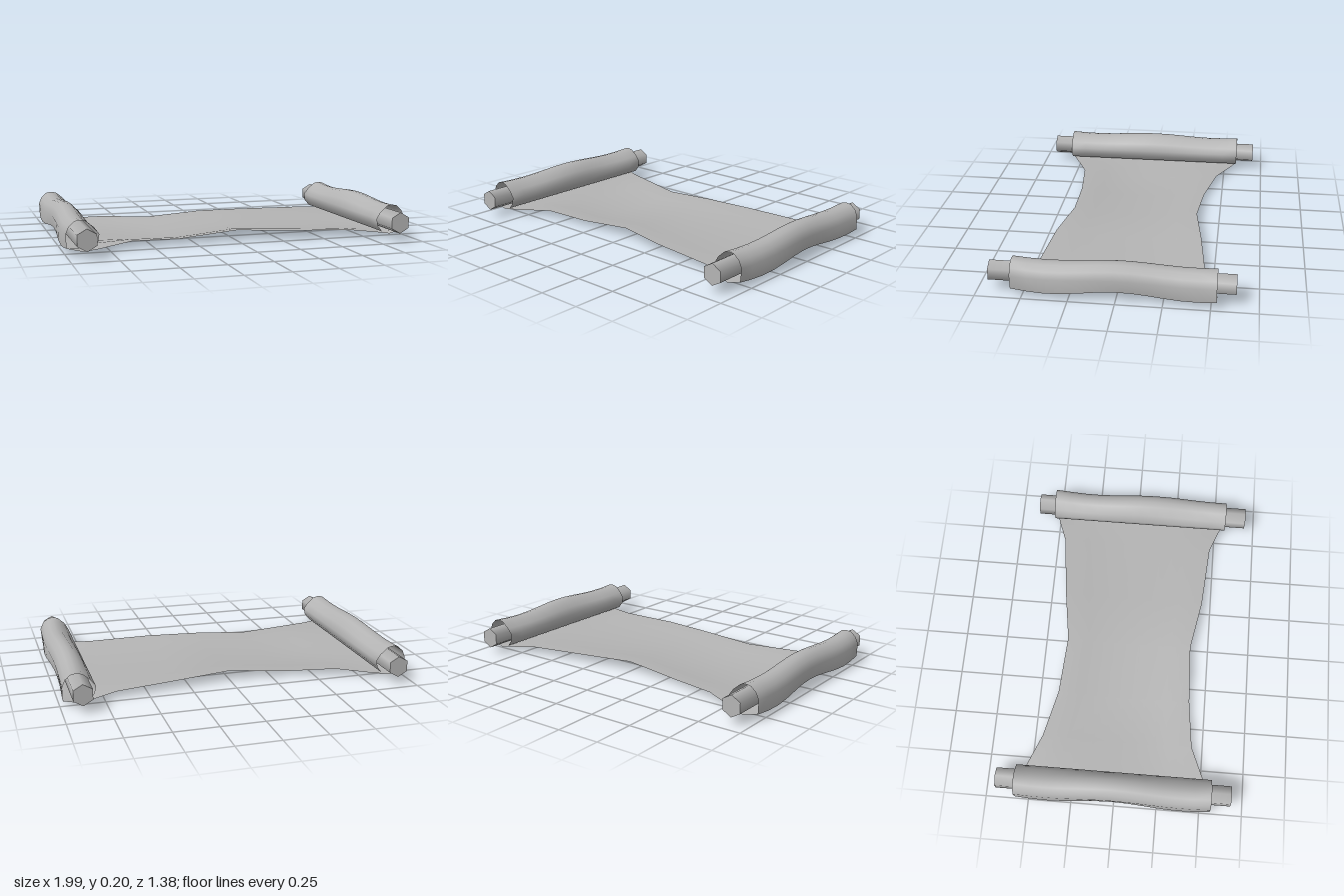
import * as THREE from 'three';
import { toCreasedNormals } from 'three/addons/utils/BufferGeometryUtils.js';

const ROWS = 12; // divisions along z

// Surface through columns of points; at(column, t) gives a point, t runs from -1 (back) to 1 (front)
function sheetGeometry(columns, at) {
  const positions = [];
  const index = [];
  columns.forEach((column, i) => {
    for (let j = 0; j <= ROWS; j++) {
      positions.push(...at(column, (j / ROWS) * 2 - 1));
      if (i > 0 && j > 0) {
        const a = (i - 1) * (ROWS + 1) + j - 1;
        const b = a + ROWS + 1;
        index.push(a, a + 1, b + 1, a, b + 1, b);
      }
    }
  });
  const geometry = new THREE.BufferGeometry();
  geometry.setAttribute('position', new THREE.Float32BufferAttribute(positions, 3));
  geometry.setIndex(index);
  return toCreasedNormals(geometry, 0.95);
}

export function createModel() {
  const model = new THREE.Group();
  const grey = new THREE.MeshStandardMaterial({ color: 0xb4b4b4, side: THREE.DoubleSide });
  grey.name = 'scroll grey';

  const add = (name, geometry) => {
    const mesh = new THREE.Mesh(geometry, grey);
    mesh.name = name;
    model.add(mesh);
    return mesh;
  };

  // Open sheet: x, y in the middle, y at the edges, back z, front z
  const columns = [
    [-0.907, 0.02, 0.02, -0.58, 0.56],
    [-0.82, 0.018, 0.022, -0.54, 0.52],
    [-0.62, 0.006, 0.038, -0.455, 0.435],
    [-0.34, 0.0, 0.03, -0.39, 0.405],
    [0, 0.035, 0.058, -0.365, 0.39],
    [0.3, 0.03, 0.05, -0.41, 0.445],
    [0.68, 0.02, 0.037, -0.455, 0.475],
    [0.8, 0.02, 0.028, -0.5, 0.52],
    [0.89, 0.02, 0.02, -0.53, 0.56],
  ];
  add('sheet', sheetGeometry(columns, ([x, mid, edge, back, front], t) => [
    x,
    mid + (edge - mid) * Math.min(1, t * t * 1.3),
    THREE.MathUtils.lerp(back, front, (t + 1) / 2),
  ]));

  // Curled ends: outward offset, height, share of the wobble
  const curl = [
    [0, 0.02, 0],
    [0.088, 0.045, 1],
    [0.092, 0.12, 0.5],
    [0.075, 0.16, 0.7],
    [0.045, 0.187, 0.7],
    [0.015, 0.192, 0.6],
    [-0.018, 0.185, 0.6],
    [-0.06, 0.148, 0.4],
    [-0.085, 0.11, 0],
    [-0.078, 0.07, 0],
    [-0.05, 0.035, 0],
  ];
  const ends = [
    { name: 'right', side: -1, x: -0.907, roll: [-0.58, 0.56], rod: [-0.69, 0.675], bow: -0.008 },
    { name: 'left', side: 1, x: 0.89, roll: [-0.53, 0.56], rod: [-0.63, 0.685], bow: 0.01 },
  ];
  for (const { name, side, x, roll, rod, bow } of ends) {
    add(name + 'Roll', sheetGeometry(curl, ([out, y, wobble], t) => {
      const wave = Math.cos(t * 4.5);
      const sway = side > 0 ? Math.sin(t * 4) : wave;
      return [
        x + side * (out + wobble * bow * sway),
        y + wobble * 0.015 * wave,
        THREE.MathUtils.lerp(roll[0], roll[1], (t + 1) / 2),
      ];
    }));

    // Six-sided rod
    const rodMesh = add(name + 'Rod', toCreasedNormals(
      new THREE.CylinderGeometry(0.061, 0.061, rod[1] - rod[0], 6), 1.1));
    rodMesh.rotation.x = Math.PI / 2;
    rodMesh.position.set(x, 0.102, (rod[0] + rod[1]) / 2);
  }
  return model;
}
